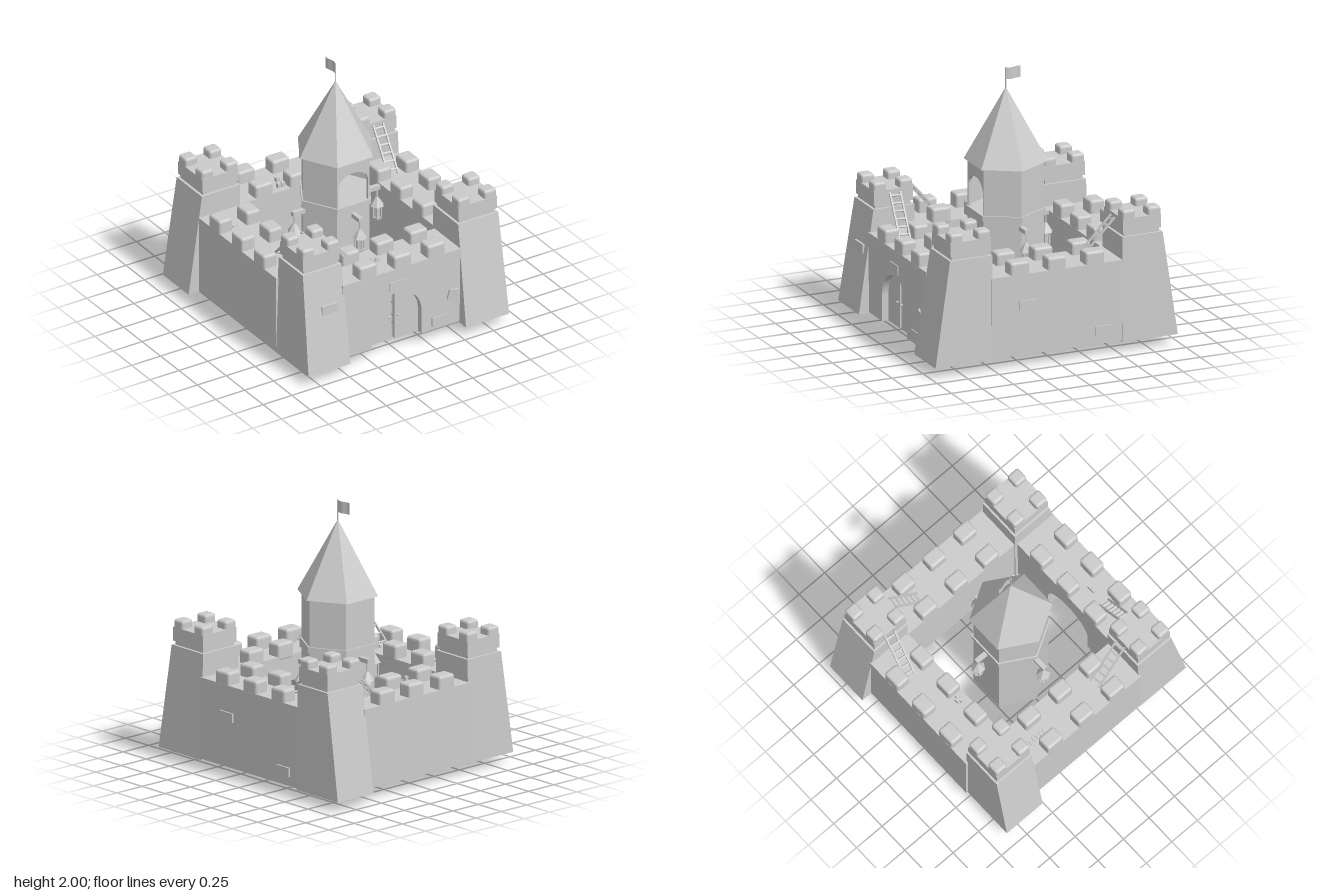
import * as THREE from 'three';
import { RoundedBoxGeometry } from 'three/addons/geometries/RoundedBoxGeometry.js';

const stone = new THREE.MeshStandardMaterial({ color: 0xcccccc, flatShading: true });
const thin = new THREE.MeshStandardMaterial({ color: 0xcccccc, flatShading: true, side: THREE.DoubleSide });

function add(parent, name, geometry, x = 0, y = 0, z = 0, material = stone) {
  const mesh = new THREE.Mesh(geometry, material);
  mesh.name = name;
  mesh.position.set(x, y, z);
  parent.add(mesh);
  return mesh;
}

function group(parent, name, x = 0, y = 0, z = 0) {
  const g = new THREE.Group();
  g.name = name;
  g.position.set(x, y, z);
  parent.add(g);
  return g;
}

// Box given by its limits
function block(parent, name, x0, x1, y0, y1, z0, z1) {
  return add(parent, name, new THREE.BoxGeometry(x1 - x0, y1 - y0, z1 - z0),
    (x0 + x1) / 2, (y0 + y1) / 2, (z0 + z1) / 2);
}

function merlon(parent, x, z, top, w, d, h) {
  add(parent, 'merlon', new RoundedBoxGeometry(w, h + 0.03, d, 2, 0.02), x, top - (h + 0.03) / 2, z);
}

// Box whose bottom and top rectangles [x0, x1, z0, z1] differ
function taperedBlock(b, t, y0, y1) {
  const g = new THREE.BoxGeometry(1, 1, 1);
  const p = g.attributes.position;
  for (let i = 0; i < p.count; i++) {
    const r = p.getY(i) > 0 ? t : b;
    p.setXYZ(i, p.getX(i) > 0 ? r[1] : r[0], p.getY(i) > 0 ? y1 : y0, p.getZ(i) > 0 ? r[3] : r[2]);
  }
  g.computeVertexNormals();
  return g;
}

function tower(parent, name, base, cap, lift) {
  const g = group(parent, name);
  const [x0, x1, z0, z1] = cap;
  const body = [x0 - 0.008, x1 + 0.008, z0 - 0.008, z1 + 0.008];
  add(g, 'towerBody', taperedBlock(base, body, 0.08, 0.87 + lift));
  block(g, 'towerNeck', x0 + 0.012, x1 - 0.012, 0.86, 0.91 + lift, z0 + 0.012, z1 - 0.012);
  block(g, 'towerCap', x0, x1, 0.9 + lift, 1.005 + lift, z0, z1);
  for (const x of [x0 + 0.052, x1 - 0.052])
    for (const z of [z0 + 0.052, z1 - 0.052]) merlon(g, x, z, 1.067 + lift, 0.104, 0.104, 0.062);
}

// Arch outline standing on y0, with sides up to ySpring
function archPath(path, cx, half, y0, ySpring, rise) {
  path.moveTo(cx - half, y0);
  path.lineTo(cx + half, y0);
  path.lineTo(cx + half, ySpring);
  path.absellipse(cx, ySpring, half, rise, 0, Math.PI, false, 0);
  path.lineTo(cx - half, y0);
  return path;
}

function ladder(parent, bottom, top) {
  const a = new THREE.Vector3(...bottom), b = new THREE.Vector3(...top);
  const len = a.distanceTo(b);
  const g = group(parent, 'ladder', a.x, a.y, a.z);
  g.lookAt(b);
  for (const s of [-1, 1]) add(g, 'ladderRail', new THREE.BoxGeometry(0.012, 0.016, len), s * 0.04, 0, len / 2);
  for (let i = 0; i < 6; i++)
    add(g, 'ladderRung', new THREE.BoxGeometry(0.085, 0.01, 0.012), 0, 0, len * (i + 0.6) / 6);
}

// Lantern on an arm that runs along local +z
function lantern(parent, angle, start, reach) {
  const g = group(parent, 'lantern');
  g.rotation.y = angle;
  block(g, 'lanternArm', -0.018, 0.018, 0.825, 0.858, start, reach + 0.02);
  const hex = (name, r0, r1, y0, y1) =>
    add(g, name, new THREE.CylinderGeometry(r1, r0, y1 - y0, 6), 0, (y0 + y1) / 2, reach);
  hex('lanternRod', 0.007, 0.007, 0.74, 0.83);
  hex('lanternRoof', 0.055, 0.01, 0.69, 0.76);
  hex('lanternGlass', 0.026, 0.03, 0.6, 0.69);
  hex('lanternBase', 0.036, 0.04, 0.58, 0.6);
  for (let i = 0; i < 6; i++) {
    const t = i * Math.PI / 3;
    add(g, 'lanternBar', new THREE.BoxGeometry(0.009, 0.09, 0.009),
      0.034 * Math.sin(t), 0.645, reach + 0.034 * Math.cos(t));
  }
}

export function createModel() {
  const model = new THREE.Group();
  model.name = 'castle';

  // Curtain walls; the front one has an arched gateway
  const walls = group(model, 'walls');
  block(walls, 'backWall', -0.49, 0.57, 0.09, 0.7, -0.89, -0.53);
  block(walls, 'rightSideWall', -0.83, -0.48, 0.09, 0.7, -0.54, 0.52);
  block(walls, 'leftSideWall', 0.545, 0.905, 0.09, 0.71, -0.54, 0.52);
  const gx = -0.015, gr = 0.217, spring = 0.285;
  const front = new THREE.Shape();
  front.moveTo(-0.48, 0.09);
  front.lineTo(gx - gr, 0.09);
  front.lineTo(gx - gr, spring);
  front.absarc(gx, spring, gr, Math.PI, 0, true);
  front.lineTo(gx + gr, 0.09);
  front.lineTo(0.55, 0.09);
  front.lineTo(0.55, 0.7);
  front.lineTo(-0.48, 0.7);
  add(walls, 'frontWall', new THREE.ExtrudeGeometry(front, { depth: 0.35, bevelEnabled: false, curveSegments: 20 }), 0, 0, 0.53);
  for (const a of [-0.255, 0.045, 0.335])
    for (const z of [-0.83, -0.59, 0.585, 0.82]) merlon(walls, a, z, 0.8, 0.15, 0.118, 0.1);
  for (const a of [-0.315, -0.012, 0.288])
    for (const x of [-0.775, -0.535, 0.602, 0.845]) merlon(walls, x, a, 0.805, 0.118, 0.15, 0.1);

  // Gate leaves with knobs
  for (const s of [-1, 1]) {
    const leaf = new THREE.Shape();
    leaf.moveTo(s * 0.014, 0.09);
    leaf.lineTo(s * gr, 0.09);
    leaf.lineTo(s * gr, spring);
    for (let i = 1; i <= 10; i++) {
      const t = i / 10 * (Math.PI / 2 - 0.065);
      leaf.lineTo(s * gr * Math.cos(t), spring + gr * Math.sin(t));
    }
    add(model, 'gateLeaf', new THREE.ExtrudeGeometry(leaf, { depth: 0.03, bevelEnabled: false }), gx, 0, 0.8);
    add(model, 'gateKnob', new THREE.SphereGeometry(0.01, 8, 6), gx + s * 0.038, 0.285, 0.84);
  }

  // Corner towers, each splayed towards one side
  tower(model, 'frontRightTower', [-0.83, -0.465, 0.51, 0.96], [-0.795, -0.478, 0.52, 0.833], 0);
  tower(model, 'frontLeftTower', [0.53, 0.905, 0.505, 0.97], [0.55, 0.882, 0.515, 0.838], 0.015);
  tower(model, 'backRightTower', [-0.92, -0.475, -0.875, -0.525], [-0.795, -0.48, -0.862, -0.535], 0);
  tower(model, 'backLeftTower', [0.555, 0.91, -0.975, -0.53], [0.565, 0.895, -0.848, -0.54], 0.015);

  // Hexagonal keep with an arched window in its front face
  const keep = group(model, 'keep', 0.018, 0, 0);
  const hexPrism = (name, r0, r1, y0, y1) => {
    add(keep, name, new THREE.CylinderGeometry(r1, r0, y1 - y0, 6), 0, (y0 + y1) / 2, 0).rotation.y = Math.PI / 6;
  };
  hexPrism('keepBase', 0.28, 0.28, 0, 0.91);
  hexPrism('keepBand', 0.293, 0.293, 0.89, 0.93);
  add(keep, 'keepUpperWall', new THREE.CylinderGeometry(0.28, 0.28, 0.39, 5, 1, true, Math.PI / 6, Math.PI * 5 / 3), 0, 1.1, 0, thin);
  const face = new THREE.Shape([[-0.14, 0.905], [0.14, 0.905], [0.14, 1.295], [-0.14, 1.295]].map(p => new THREE.Vector2(...p)));
  face.holes.push(archPath(new THREE.Path(), 0, 0.127, 0.915, 1.1, 0.09));
  add(keep, 'keepWindowWall', new THREE.ExtrudeGeometry(face, { depth: 0.02, bevelEnabled: false, curveSegments: 16 }), 0, 0, 0.2225);
  hexPrism('keepRoof', 0.31, 0, 1.29, 1.85);

  // Flag
  add(keep, 'flagPole', new THREE.CylinderGeometry(0.005, 0.005, 0.17, 6), 0, 1.915, 0);
  const cloth = new THREE.PlaneGeometry(0.12, 0.09, 8, 1);
  const p = cloth.attributes.position;
  for (let i = 0; i < p.count; i++) p.setZ(i, 0.008 * Math.sin((p.getX(i) + 0.06) * 45));
  add(keep, 'flag', cloth, 0, 1.952, -0.062, thin).rotation.y = Math.PI / 2;

  // Lanterns around the keep
  lantern(keep, 0, 0.23, 0.33);
  lantern(keep, Math.PI, 0.23, 0.32);
  lantern(keep, Math.PI / 2, 0.26, 0.36);
  lantern(keep, -Math.PI / 2, 0.26, 0.355);

  // Ladders from the walls up to the towers
  ladder(model, [-0.22, 0.7, 0.7], [-0.475, 0.98, 0.665]);
  ladder(model, [0.29, 0.7, -0.74], [0.565, 0.99, -0.7]);
  ladder(model, [-0.65, 0.7, 0.225], [-0.625, 1.0, 0.5]);
  ladder(model, [0.7, 0.71, -0.28], [0.73, 1.0, -0.535]);

  // Raised stones on the wall faces and tops
  const stones = group(model, 'raisedStones');
  block(stones, 'stone', 0.89, 0.918, 0.44, 0.51, 0.16, 0.3);
  block(stones, 'stone', 0.89, 0.918, 0.16, 0.23, -0.45, -0.31);
  block(stones, 'stone', -0.67, -0.53, 0.52, 0.59, 0.85, 0.9);
  block(stones, 'stone', -0.08, 0.06, 0.53, 0.6, 0.86, 0.888);
  block(stones, 'stone', 0.29, 0.43, 0.12, 0.19, 0.86, 0.888);
  for (const [x, y, z] of [[-0.095, 0.7, -0.59], [-0.06, 0.7, -0.59], [-0.09, 0.735, -0.62], [-0.105, 0.695, 0.7], [-0.07, 0.695, 0.7]])
    add(stones, 'looseStone', new THREE.BoxGeometry(0.03, 0.033, 0.026), x, y + 0.016, z);
  for (let i = 0; i < 5; i++)
    add(stones, 'pavingStone', new THREE.BoxGeometry(0.04, 0.02, 0.03), -0.675, 0.7, -0.42 + i * 0.033);

  // Shield leaning on the front wall
  const shield = new THREE.Shape([[0.42, 0.315], [0.52, 0.25], [0.515, 0.385], [0.44, 0.39]].map(q => new THREE.Vector2(...q)));
  const shieldMesh = add(model, 'shield', new THREE.ExtrudeGeometry(shield, { depth: 0.015, bevelEnabled: false }).translate(-0.42, 0, 0), 0.42, 0, 0.88);
  shieldMesh.rotation.y = -0.2;
  return model;
}
